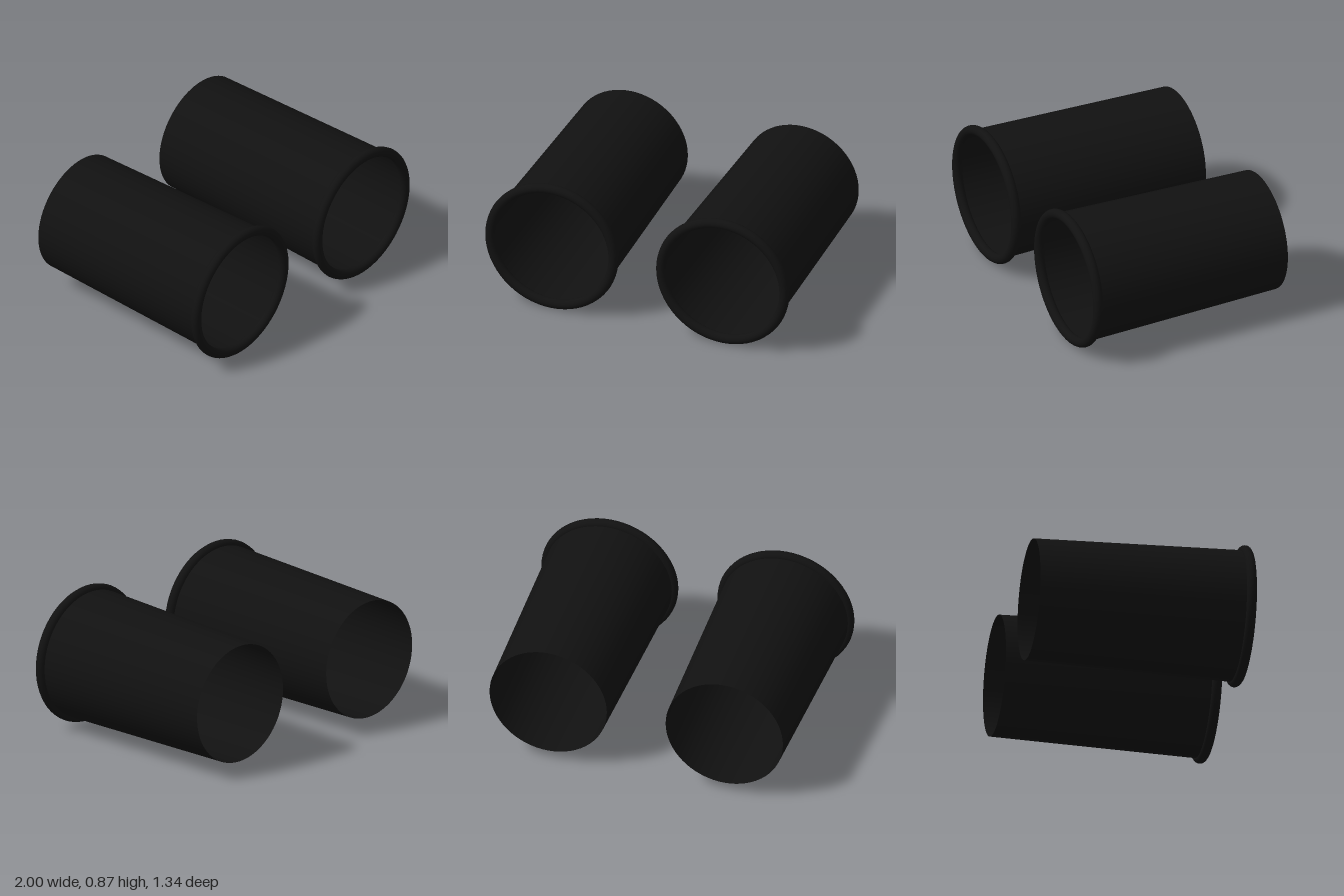
import * as THREE from 'three';

export function createModel() {
  const model = new THREE.Group();
  const black = new THREE.MeshStandardMaterial({ color: 0x111111, side: THREE.DoubleSide });
  black.name = 'black';

  const frontRadius = 0.406, backRadius = 0.375, length = 1.313;
  const lip = 0.031, frontZ = 0.641;

  // Open sleeve tapering towards the back
  const sleeveGeometry = new THREE.CylinderGeometry(frontRadius, backRadius, length, 64, 1, true);
  sleeveGeometry.rotateX(Math.PI / 2);
  sleeveGeometry.translate(0, 0, frontZ - length / 2);

  // Rolled rim around the front opening
  const rimGeometry = new THREE.TorusGeometry(frontRadius, lip, 16, 64);
  rimGeometry.translate(0, 0, frontZ);

  // Mirrored pair
  for (const [name, side] of [['left', 1], ['right', -1]]) {
    const cuff = new THREE.Group();
    cuff.name = name + 'Cuff';
    const sleeve = new THREE.Mesh(sleeveGeometry, black);
    sleeve.name = name + 'Sleeve';
    const rim = new THREE.Mesh(rimGeometry, black);
    rim.name = name + 'Rim';
    cuff.add(sleeve, rim);
    cuff.position.set(side * 0.563, frontRadius + lip, 0);
    model.add(cuff);
  }
  return model;
}
